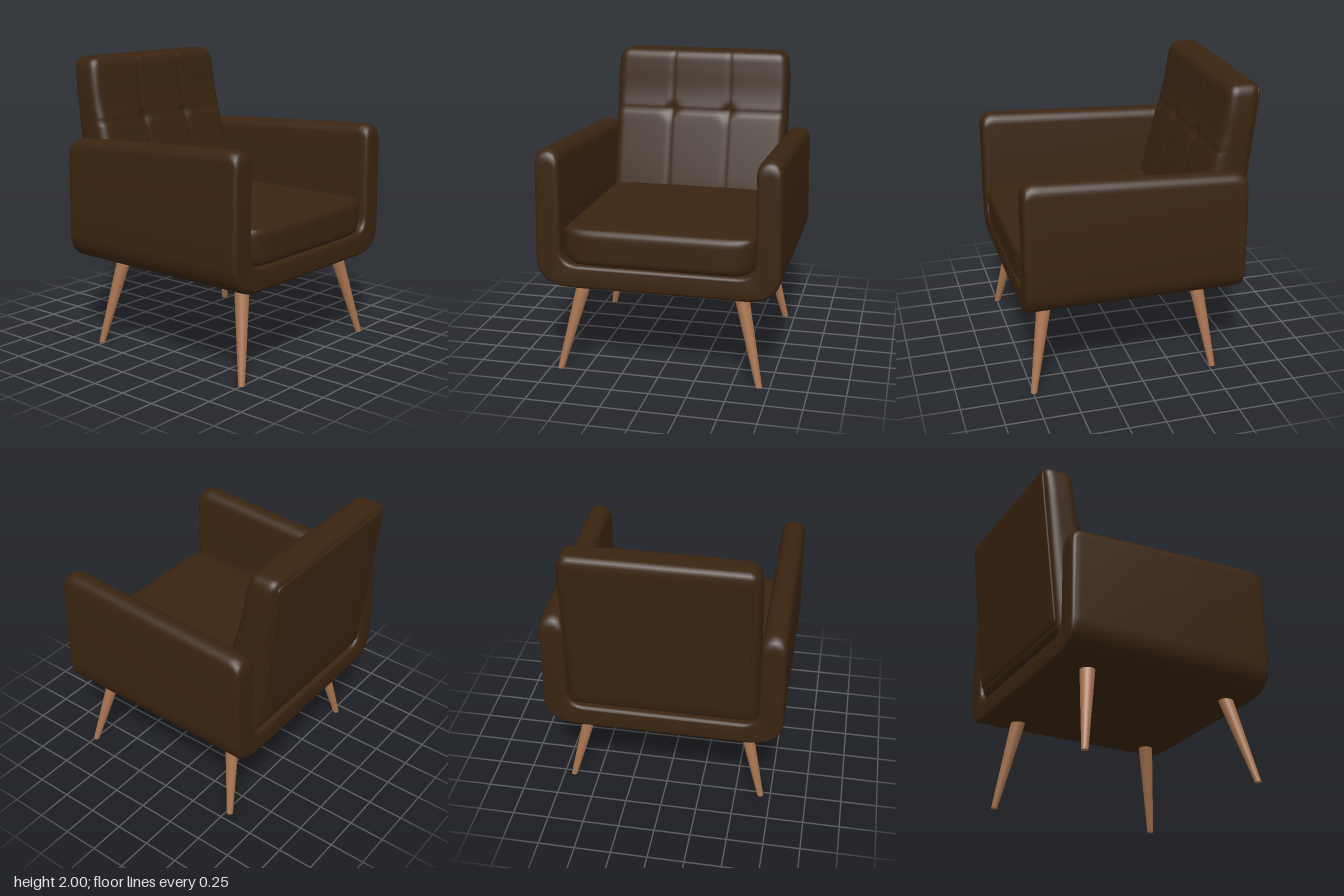
import * as THREE from 'three';
import { mergeVertices, toCreasedNormals } from 'three/addons/utils/BufferGeometryUtils.js';

const { lerp, clamp } = THREE.MathUtils;

// Moves every vertex of a geometry by a rule.
function warp(geo, rule) {
  const pos = geo.attributes.position;
  const p = new THREE.Vector3();
  for (let i = 0; i < pos.count; i++) {
    p.fromBufferAttribute(pos, i);
    rule(p);
    pos.setXYZ(i, p.x, p.y, p.z);
  }
  return geo;
}

// Joins shared corners and shades the surface smoothly.
function smooth(geo) {
  geo.deleteAttribute('uv');
  geo.deleteAttribute('normal');
  const joined = mergeVertices(geo, 1e-4);
  joined.computeVertexNormals();
  return joined;
}

// Finely divided box with rounded edges, ready to be shaped like a cushion.
function softBox(w, h, d, r, sx, sy, sz) {
  const inner = new THREE.Vector3(w / 2 - r, h / 2 - r, d / 2 - r);
  return warp(new THREE.BoxGeometry(w, h, d, sx, sy, sz), (p) => {
    const core = p.clone().clamp(inner.clone().negate(), inner);
    p.sub(core).setLength(r).add(core);
  });
}

// Height-to-depth lookup through a few profile points.
function profile(points) {
  const curve = new THREE.SplineCurve(points.map(([y, x]) => new THREE.Vector2(y, x)));
  const pts = curve.getPoints(80);
  return (y) => {
    let i = 1;
    while (i < pts.length - 1 && pts[i].x < y) i++;
    const a = pts[i - 1], b = pts[i];
    return lerp(a.y, b.y, clamp((y - a.x) / (b.x - a.x), 0, 1));
  };
}

// Arms and base: one U-shaped section running from back to front.
function shellGeometry() {
  const s = new THREE.Shape();
  s.moveTo(-0.58, 0.6);
  s.lineTo(0.58, 0.6);
  s.bezierCurveTo(0.74, 0.605, 0.815, 0.67, 0.815, 0.8);
  s.lineTo(0.805, 1.42);
  s.bezierCurveTo(0.8, 1.515, 0.655, 1.515, 0.645, 1.42);
  s.lineTo(0.645, 0.88);
  s.quadraticCurveTo(0.645, 0.76, 0.53, 0.76);
  s.lineTo(-0.53, 0.76);
  s.quadraticCurveTo(-0.645, 0.76, -0.645, 0.88);
  s.lineTo(-0.645, 1.42);
  s.bezierCurveTo(-0.655, 1.515, -0.8, 1.515, -0.805, 1.42);
  s.lineTo(-0.815, 0.8);
  s.bezierCurveTo(-0.815, 0.67, -0.74, 0.605, -0.58, 0.6);
  const geo = new THREE.ExtrudeGeometry(s, {
    depth: 1.43, steps: 48, curveSegments: 14,
    bevelThickness: 0.03, bevelSize: 0.025, bevelOffset: -0.025, bevelSegments: 5,
  });
  geo.rotateY(Math.PI / 2).translate(-0.66, 0, 0);
  // Arm tops rise towards the front and round off at both ends
  const r = 0.09;
  warp(geo, (p) => {
    const d = clamp(Math.max(p.x - (0.8 - r), -0.69 + r - p.x), 0, r);
    const top = 1.492 + 0.05 * p.x - 0.75 * (r - Math.sqrt(r * r - d * d));
    if (p.y > 0.8) p.y = 0.8 + ((p.y - 0.8) * (top - 0.8)) / (1.491 - 0.8);
  });
  geo.deleteAttribute('uv');
  return toCreasedNormals(geo, 0.6);
}

// Seat cushion with rounded front corners and a light crown.
function seatGeometry() {
  const geo = softBox(1.46, 0.25, 1.285, 0.05, 48, 12, 48);
  warp(geo, (p) => {
    const side = Math.abs(p.z) / 0.6425;
    if (p.x > 0) p.x -= 0.08 * side ** 10 * (p.x / 0.73) ** 6;
    if (p.y > 0) p.y += 0.02 * (1 - side ** 4) * (1 - (p.x / 0.73) ** 4);
    if (p.y < 0) p.z *= 1 - 0.06 * (p.y / 0.125) ** 2;
    p.x += 0.08;
    p.y += 0.885;
  });
  return smooth(geo);
}

const backLine = (y) => -0.685 - 0.108 * (y - 0.78);

// Leaning back cushion with tufting on its front face.
function backGeometry() {
  const frontLine = profile([[0.76, -0.35], [1.03, -0.395], [1.46, -0.5], [1.68, -0.56], [1.86, -0.588], [2, -0.61]]);
  const geo = softBox(0.25, 1.24, 1.28, 0.065, 10, 62, 72);
  const bump = (v, w) => Math.exp(-((v / w) ** 2));
  warp(geo, (p) => {
    const y = p.y + 1.38;
    const t = p.x / 0.25 + 0.5;
    let x = lerp(backLine(y), frontLine(y), t);
    if (t > 0.6) {
      const across = Math.abs(p.z) - 1.28 / 6;
      const up = y - 1.56;
      x += 0.012 * (1 - (p.z / 0.64) ** 2);
      x -= 0.008 * Math.max(bump(across, 0.014), bump(up, 0.014));
      x -= 0.022 * bump(Math.hypot(across, up), 0.045);
    }
    // Narrows slightly at the top
    p.z *= 1 - 0.035 * clamp((y - 1.75) / 0.25, 0, 1) ** 2;
    p.set(x, y, p.z);
  });
  return smooth(geo);
}

// Flat panel closing the rear of the back cushion.
function backPanelGeometry() {
  const geo = softBox(0.03, 1.12, 1.18, 0.012, 4, 30, 30);
  warp(geo, (p) => {
    p.y += 1.4;
    p.x += backLine(p.y);
  });
  return smooth(geo);
}

// Tapered leg leaning from its top to its foot, cut level at the floor.
function legGeometry(topX, footX, topZ, footZ) {
  const h = 0.63;
  const geo = new THREE.CylinderGeometry(0.052, 0.022, h, 24);
  geo.translate(0, h / 2, 0);
  return warp(geo, (p) => {
    const t = p.y / h;
    p.x += lerp(footX, topX, t);
    p.z += lerp(footZ, topZ, t);
  });
}

export function createModel() {
  const chair = new THREE.Group();
  chair.name = 'armchair';
  const upholstery = new THREE.MeshStandardMaterial({ color: 0x3a2410 });
  upholstery.name = 'dark brown upholstery';
  const wood = new THREE.MeshStandardMaterial({ color: 0xa87450 });
  wood.name = 'warm wood';

  const add = (name, geometry, material) => {
    const mesh = new THREE.Mesh(geometry, material);
    mesh.name = name;
    chair.add(mesh);
  };

  add('armsAndBase', shellGeometry(), upholstery);
  add('seatCushion', seatGeometry(), upholstery);
  add('backCushion', backGeometry(), upholstery);
  add('backPanel', backPanelGeometry(), upholstery);

  // Four splayed legs
  for (const side of [1, -1]) {
    const name = side > 0 ? 'Left' : 'Right';
    for (const [end, topX, footX] of [['front', 0.62, 0.745], ['rear', -0.43, -0.525]]) {
      const geo = legGeometry(topX, footX, side * 0.525, side * 0.68);
      geo.computeVertexNormals();
      add(`${end}${name}Leg`, geo, wood);
    }
  }
  return chair;
}
